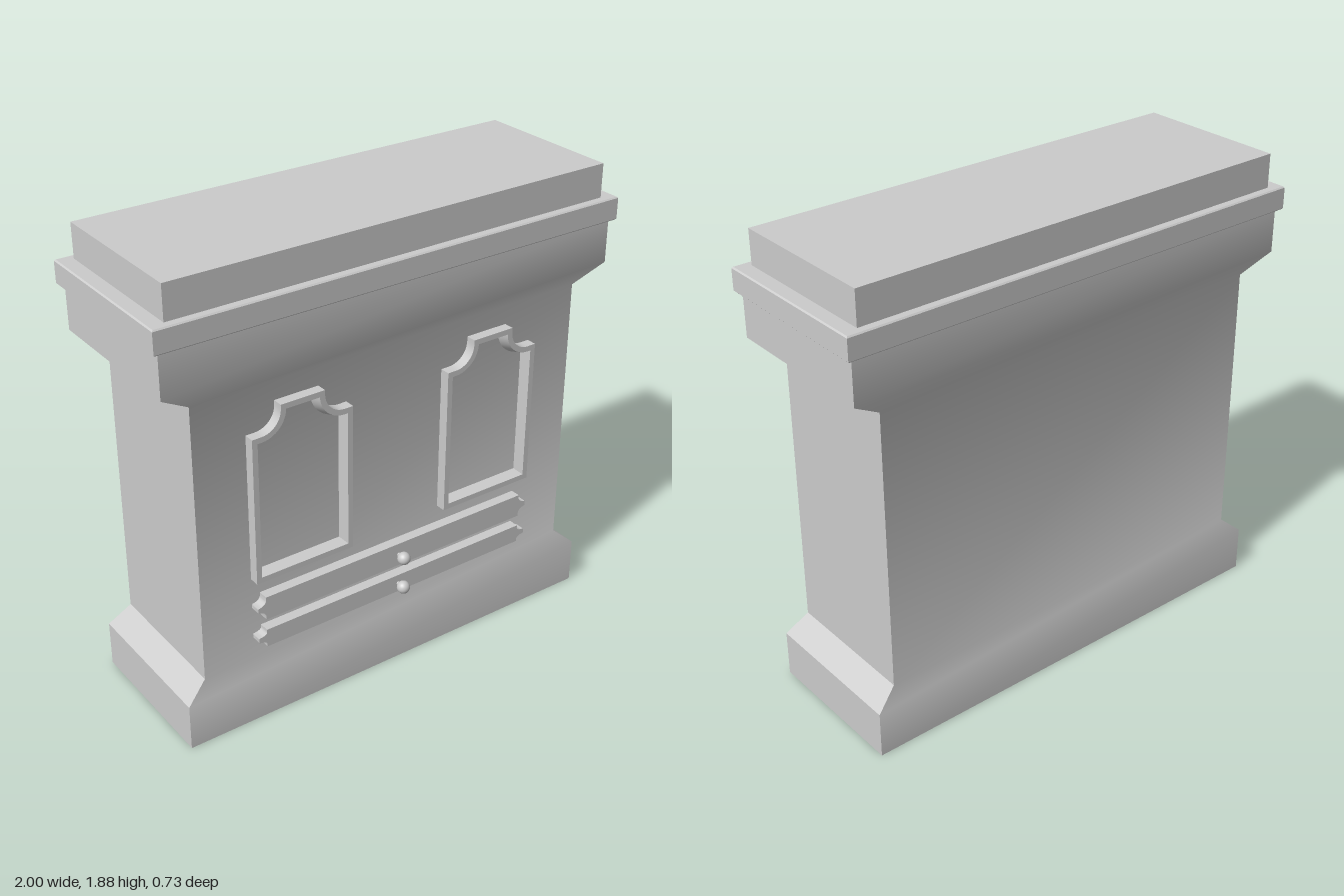
import * as THREE from 'three';
import { toCreasedNormals } from 'three/addons/utils/BufferGeometryUtils.js';

const material = new THREE.MeshStandardMaterial({ color: 0xcccccc });
const BODY_Z = 0.265;    // front face of the body
const RELIEF_Z = 0.307;  // front of the frames and drawers

function addMesh(parent, name, geometry) {
  const mesh = new THREE.Mesh(geometry, material);
  mesh.name = name;
  parent.add(mesh);
  return mesh;
}

// Skin a series of equal-length rings of [x, y, z]; optionally fill both ends.
function loft(rings, capped) {
  const out = [];
  const tri = (a, b, c) => out.push(...a, ...b, ...c);
  const n = rings[0].length;
  for (let r = 0; r < rings.length - 1; r++) {
    const a = rings[r], b = rings[r + 1];
    for (let i = 0; i < n; i++) {
      const j = (i + 1) % n;
      tri(a[i], a[j], b[j]);
      tri(a[i], b[j], b[i]);
    }
  }
  if (capped) {
    const first = rings[0], last = rings[rings.length - 1];
    for (let i = 1; i < n - 1; i++) {
      tri(first[0], first[i + 1], first[i]);
      tri(last[0], last[i], last[i + 1]);
    }
  }
  const geometry = new THREE.BufferGeometry();
  geometry.setAttribute('position', new THREE.Float32BufferAttribute(out, 3));
  geometry.computeVertexNormals();
  return toCreasedNormals(geometry, Math.PI / 6);
}

// Moulded block from rows of [y, half width, half depth].
function block(rows) {
  const zc = -0.02;
  return loft(rows.map(([y, w, d]) => [
    [w, y, zc + d], [w, y, zc - d], [-w, y, zc - d], [-w, y, zc + d],
  ]), true);
}

// Frame outline with scooped shoulders, inset by d.
function frameRing(d, z) {
  const half = [[0.212 - d, 0.623 + d], [0.212 - d, 1.222 - d]];
  const cx = 0.175, cy = 1.305, r = 0.083 + d, top = 1.323 - d;
  const end = Math.acos(Math.max(0, cy - top) / r);
  for (let i = 0; i <= 10; i++) {
    const a = end * i / 10;
    half.push([cx - r * Math.sin(a), cy - r * Math.cos(a)]);
  }
  half.push([cx - r * Math.sin(end), top]);
  const mirrored = half.map(([x, y]) => [-x, y]).reverse();
  return [...half, ...mirrored].map(([x, y]) => [x, y, z]);
}

// Drawer front with a scooped, pointed tab at each end.
function drawerGeometry(height) {
  const h = height / 2, tip = 0.011, r = h - tip - 0.012;
  const quarter = [];
  for (let i = 0; i <= 8; i++) {
    const a = (Math.PI / 2) * i / 8;
    quarter.push([0.638 - 0.033 * Math.cos(a), tip + r - r * Math.sin(a)]);
  }
  const upper = [[0.605, h], ...quarter, [0.64, tip * 0.6]];
  const right = [...upper, ...upper.map(([x, y]) => [x, -y]).reverse()];
  const left = right.map(([x, y]) => [-x, y]).reverse();
  const shape = new THREE.Shape([...right, ...left].map(([x, y]) => new THREE.Vector2(x, y)));
  const geometry = new THREE.ExtrudeGeometry(shape, { depth: RELIEF_Z - BODY_Z, bevelEnabled: false });
  return toCreasedNormals(geometry, Math.PI / 6);
}

export function createModel() {
  const model = new THREE.Group();
  model.name = 'counter';

  // Plinth, body and cornice in one continuous moulding
  addMesh(model, 'body', block([
    [0, 0.94, 0.313], [0.19, 0.94, 0.313],
    [0.265, 0.853, 0.285], [1.4, 0.853, 0.285],
    [1.478, 0.977, 0.327], [1.652, 0.977, 0.327],
  ]));

  // Projecting ledge with slightly eased edges
  addMesh(model, 'ledge', block([
    [1.652, 0.995, 0.341], [1.657, 1, 0.346],
    [1.74, 1, 0.346], [1.745, 0.995, 0.341],
  ]));

  addMesh(model, 'topSlab', block([[1.745, 0.94, 0.313], [1.88, 0.94, 0.313]]));

  // Panel frames with a sloping inner edge
  const frame = loft([
    frameRing(0, BODY_Z), frameRing(0, RELIEF_Z),
    frameRing(0.022, RELIEF_Z), frameRing(0.035, BODY_Z),
  ], false);
  for (const [name, side] of [['leftPanelFrame', 1], ['rightPanelFrame', -1]]) {
    addMesh(model, name, frame).position.x = side * 0.428;
  }

  // Drawers, each with a ball knob on a short stem
  for (const [name, y, height] of [['upperDrawer', 0.502, 0.098], ['lowerDrawer', 0.368, 0.076]]) {
    const drawer = new THREE.Group();
    drawer.name = name;
    drawer.position.set(0, y, BODY_Z);
    addMesh(drawer, 'drawerFront', drawerGeometry(height));
    const stem = addMesh(drawer, 'knobStem', new THREE.CylinderGeometry(0.008, 0.008, 0.04, 16));
    stem.rotation.x = Math.PI / 2;
    stem.position.z = 0.055;
    addMesh(drawer, 'knob', new THREE.SphereGeometry(0.026, 24, 16)).position.z = 0.075;
    model.add(drawer);
  }
  return model;
}
